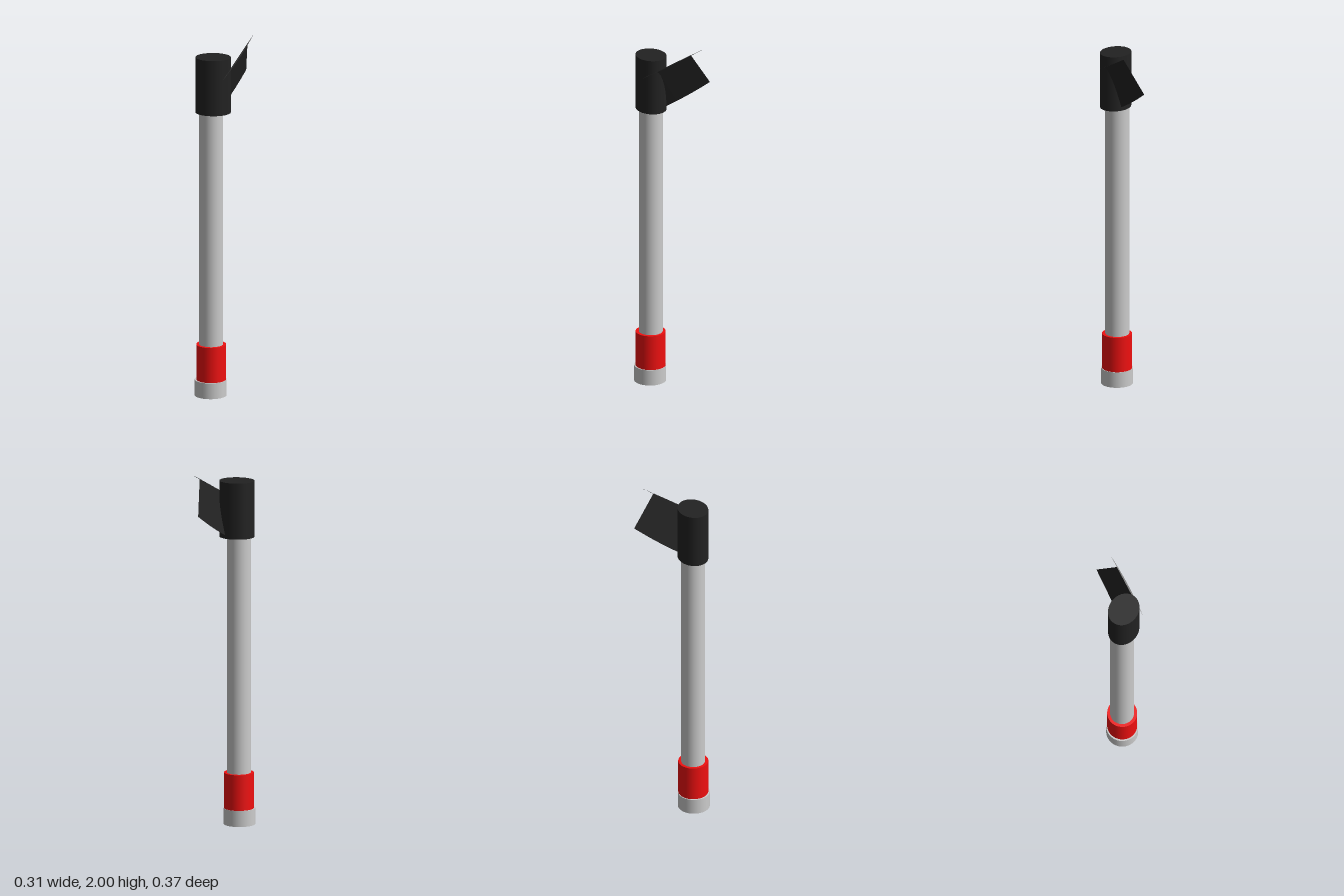
import * as THREE from 'three';

const grey = new THREE.MeshStandardMaterial({ color: 0xcccccc });
const red = new THREE.MeshStandardMaterial({ color: 0xf01010 });
const black = new THREE.MeshStandardMaterial({ color: 0x222222 });
const blackSheet = new THREE.MeshStandardMaterial({ color: 0x222222, side: THREE.DoubleSide });

// Upright round section from y0 to y1, with its own radius along x and z.
function section(name, material, x, z, rx, rz, y0, y1) {
  const mesh = new THREE.Mesh(new THREE.CylinderGeometry(1, 1, y1 - y0, 40), material);
  mesh.name = name;
  mesh.scale.set(rx, 1, rz);
  mesh.position.set(x, (y0 + y1) / 2, z);
  return mesh;
}

// Thin surface stretched between two edge curves.
function ruledSheet(name, edgeA, edgeB, steps = 16) {
  const geometry = new THREE.PlaneGeometry(1, 1, steps, 1);
  const pos = geometry.attributes.position;
  for (let i = 0; i <= steps; i++) {
    const a = edgeA(i / steps), b = edgeB(i / steps);
    pos.setXYZ(i, a.x, a.y, a.z);
    pos.setXYZ(i + steps + 1, b.x, b.y, b.z);
  }
  geometry.computeVertexNormals();
  const mesh = new THREE.Mesh(geometry, blackSheet);
  mesh.name = name;
  return mesh;
}

export function createModel() {
  const model = new THREE.Group();

  // Shaft with its foot, band and grip
  model.add(
    section('foot', grey, -0.069, 0.09, 0.088, 0.088, 0, 0.09),
    section('band', red, -0.066, 0.088, 0.082, 0.083, 0.09, 0.29),
    section('shaft', grey, -0.066, 0.087, 0.066, 0.066, 0.05, 1.65),
    section('grip', black, -0.055, 0.091, 0.097, 0.082, 1.615, 1.93)
  );

  // Slanted strap: a broad flap hanging from a slim pointed rim
  const strap = new THREE.Group();
  strap.name = 'strap';
  const tip = new THREE.Vector3(0.155, 2.0, -0.122);
  const tail = new THREE.Vector3(0, 1.82, 0.185);
  const rim = (bow) => (t) => {
    const p = tip.clone().lerp(tail, t);
    p.x += bow * Math.sin(Math.PI * t);
    return p;
  };
  strap.add(ruledSheet('strapRim', rim(-0.001), rim(0.009)));

  const low = new THREE.Vector3(0.112, 1.78, -0.187);
  const lowEnd = new THREE.Vector3(-0.01, 1.625, 0.04);
  const flapTop = (t) => rim(0)(0.19 + 0.58 * t);
  const flapBottom = (t) => {
    const p = low.clone().lerp(lowEnd, t);
    p.y -= 0.006 * Math.sin(Math.PI * t);
    return p;
  };
  strap.add(ruledSheet('strapFlap', flapTop, flapBottom));
  model.add(strap);

  return model;
}
